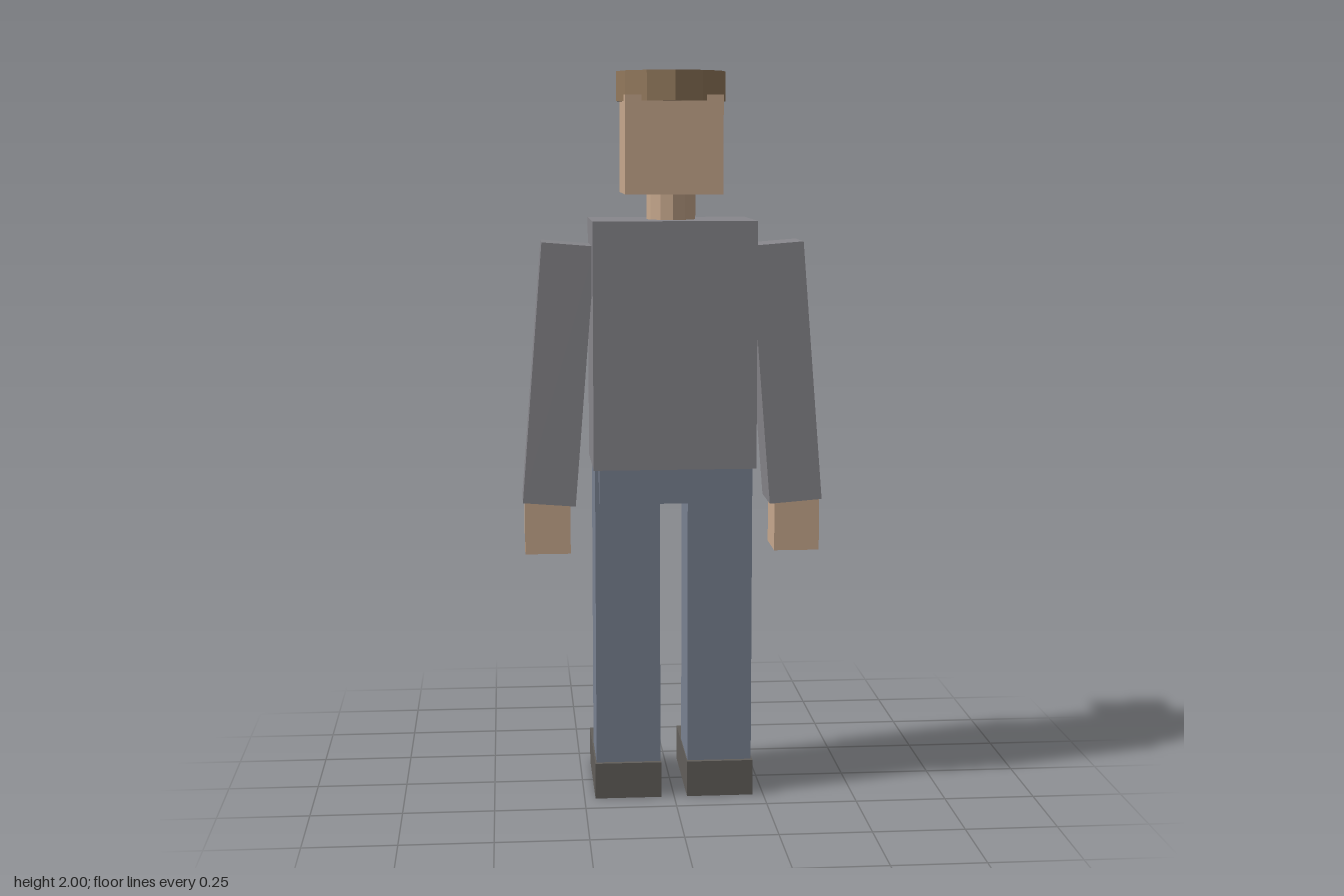
import * as THREE from 'three';

const mat = (color) => new THREE.MeshStandardMaterial({ color, flatShading: true });

export function createModel() {
  const model = new THREE.Group();
  model.name = 'figure';

  const skin = mat(0xc8a98e);
  const shirt = mat(0x88878c);
  const denim = mat(0x7a8292);
  const leather = mat(0x625f5b);
  const felt = mat(0x93795c);
  const dark = mat(0x3a3a3c);

  const add = (name, geometry, material, x, y, z) => {
    const mesh = new THREE.Mesh(geometry, material);
    mesh.name = name;
    mesh.position.set(x, y, z);
    model.add(mesh);
    return mesh;
  };
  // Box given by its centre x, width, and y and z ranges
  const box = (name, material, x, width, [y0, y1], [z0, z1]) =>
    add(name, new THREE.BoxGeometry(width, y1 - y0, z1 - z0), material, x, (y0 + y1) / 2, (z0 + z1) / 2);

  // Trunk
  box('torso', shirt, 0, 0.443, [0.931, 1.602], [-0.1, 0.201]);
  box('hips', denim, 0, 0.412, [0.836, 0.97], [-0.087, 0.191]);

  // Head, facing -z
  add('neck', new THREE.CylinderGeometry(0.067, 0.067, 0.12, 12), skin, 0, 1.635, 0.052);
  box('head', skin, 0, 0.264, [1.672, 1.936], [-0.088, 0.166]);

  // Cap with a flat brim
  add('capCrown', new THREE.CylinderGeometry(0.149, 0.149, 0.08, 12), felt, 0, 1.96, 0.05);
  box('capBrim', felt, 0, 0.24, [1.915, 1.935], [-0.204, -0.06]);

  // Paired parts
  for (const [side, s] of [['left', 1], ['right', -1]]) {
    box(side + 'Eye', dark, s * 0.06, 0.036, [1.798, 1.847], [-0.094, -0.08]);

    const arm = box(side + 'Arm', shirt, s * 0.312, 0.145, [0.825, 1.539], [-0.03, 0.13]);
    arm.rotation.z = s * 0.08;
    box(side + 'Hand', skin, s * 0.345, 0.125, [0.687, 0.86], [-0.017, 0.121]);

    box(side + 'Leg', denim, s * 0.127, 0.178, [0.08, 0.95], [-0.043, 0.156]);
    box(side + 'Shoe', leather, s * 0.128, 0.184, [0, 0.1], [-0.178, 0.169]);
  }

  return model;
}
